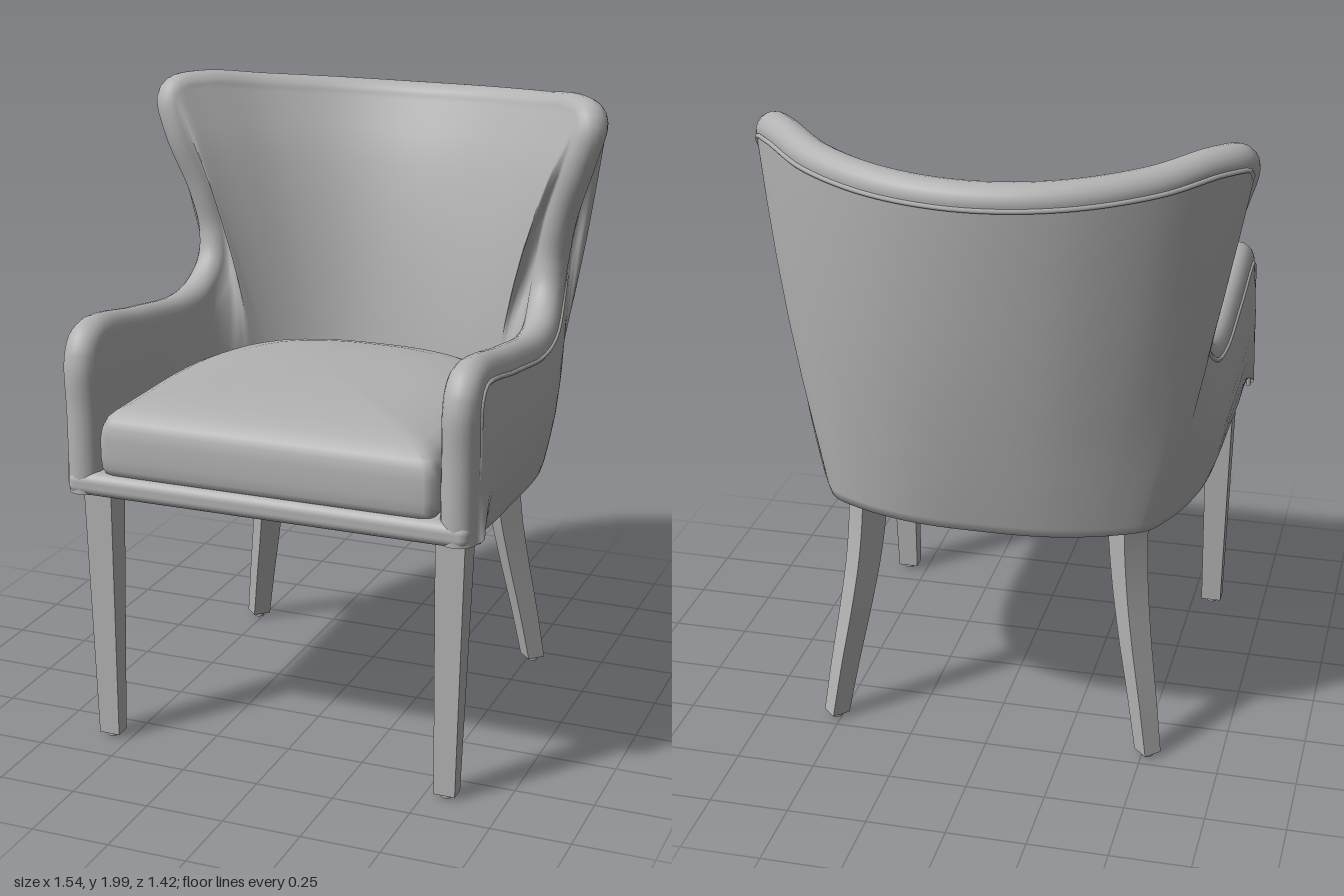
import * as THREE from 'three';
import { toCreasedNormals } from 'three/addons/utils/BufferGeometryUtils.js';
import { RoundedBoxGeometry } from 'three/addons/geometries/RoundedBoxGeometry.js';

const V = (x, y, z) => new THREE.Vector3(x, y, z);
const STEPS = 180;
const ROLL = 0.055;

// Half of the shell, front of the arm to middle of the back:
// [rim x, y, z, outward angle, outer bottom x, z, inner bottom x, z]
const HALF = [
  [0.605, 0.845, 0.645, 0, 0.655, 0.62, 0.545, 0.62],
  [0.605, 1.10, 0.645, 0, 0.655, 0.55, 0.545, 0.55],
  [0.607, 1.27, 0.643, 0, 0.655, 0.48, 0.545, 0.48],
  [0.607, 1.32, 0.60, 0, 0.655, 0.42, 0.545, 0.42],
  [0.607, 1.285, 0.30, 0, 0.65, 0.25, 0.545, 0.25],
  [0.605, 1.25, 0.00, 0, 0.64, -0.02, 0.53, 0.06],
  [0.597, 1.275, -0.15, 0.1, 0.625, -0.14, 0.508, -0.03],
  [0.585, 1.36, -0.25, 0.25, 0.60, -0.24, 0.48, -0.11],
  [0.59, 1.47, -0.283, 0.45, 0.575, -0.31, 0.45, -0.175],
  [0.62, 1.62, -0.265, 0.55, 0.55, -0.36, 0.415, -0.225],
  [0.685, 1.81, -0.23, 0.65, 0.53, -0.40, 0.38, -0.265],
  [0.712, 1.92, -0.245, 0.72, 0.51, -0.43, 0.34, -0.295],
  [0.652, 1.938, -0.327, 0.8, 0.48, -0.455, 0.295, -0.32],
  [0.492, 1.915, -0.485, 0.93, 0.36, -0.51, 0.20, -0.352],
  [0.26, 1.897, -0.61, 1.2, 0.20, -0.55, 0.10, -0.367],
  [0, 1.89, -0.653, Math.PI / 2, 0, -0.56, 0, -0.37],
];

// Skin a list of rings with quads
function loft(rings, closed) {
  const n = rings[0].length, idx = [];
  for (let i = 0; i < rings.length - 1; i++) {
    for (let j = 0; j < (closed ? n : n - 1); j++) {
      const k = (j + 1) % n;
      const a = i * n + j, b = (i + 1) * n + j, c = (i + 1) * n + k, d = i * n + k;
      idx.push(a, b, c, a, c, d);
    }
  }
  const g = new THREE.BufferGeometry().setFromPoints(rings.flat());
  g.setIndex(idx);
  g.computeVertexNormals();
  return g;
}

// Curve through one value of every row, mirrored to the other side
function mirroredCurve(pick, flip) {
  const left = HALF.map(pick);
  const right = left.slice(0, -1).reverse().map(flip);
  return new THREE.CatmullRomCurve3([...left, ...right]);
}

const flipX = (p) => V(-p.x, p.y, p.z);
const bottomY = (z) => 0.84 - 0.057 * THREE.MathUtils.clamp((0.62 - z) / 1.0, 0, 1);

// Cross-sections round the shell: outer wall, rolled rim, inner wall
function shellSections() {
  const rim = mirroredCurve((r) => V(r[0], r[1], r[2]), flipX);
  const angle = mirroredCurve((r) => V(r[3], 0, 0), (p) => V(Math.PI - p.x, 0, 0));
  const outer = mirroredCurve((r) => V(r[4], bottomY(r[5]), r[5]), flipX);
  const inner = mirroredCurve((r) => V(r[6], 0.88, r[7]), flipX);
  const sections = [], under = [], inside = [], piping = [];
  for (let i = 0; i <= STEPS; i++) {
    const u = i / STEPS;
    const R = rim.getPoint(u), B = outer.getPoint(u), I = inner.getPoint(u);
    const a = angle.getPoint(u).x;
    const flat = V(Math.cos(a), 0, -Math.sin(a));
    const t = rim.getTangent(u);
    const n = flat.clone().addScaledVector(t, -flat.dot(t)).normalize();
    const e = n.clone().cross(t).normalize();

    const low = B.clone().addScaledVector(flat, -0.035);
    const wallFoot = B.clone().add(V(0, 0.04, 0));
    const wallTop = R.clone().addScaledVector(n, ROLL);
    const inTop = R.clone().addScaledVector(n, -ROLL);
    const row = [low, B.clone().addScaledVector(flat, -0.01).add(V(0, 0.01, 0))];
    for (let k = 0; k < 6; k++) {
      row.push(wallFoot.clone().lerp(wallTop, k / 6).addScaledVector(flat, 0.022 * Math.sin(Math.PI * k / 6)));
    }
    for (let k = 0; k <= 10; k++) {
      const f = Math.PI * k / 10;
      row.push(R.clone().addScaledVector(n, ROLL * Math.cos(f)).addScaledVector(e, ROLL * Math.sin(f)));
    }
    // Padding swells the inside of the wings and back
    const padding = 0.005 + 0.042 * Math.min(1, 1.6 * Math.sin(a));
    for (let k = 1; k <= 10; k++) {
      const f = k / 10;
      row.push(inTop.clone().lerp(I, f).addScaledVector(flat, -padding * Math.sin(Math.PI * f ** 0.7)));
    }
    sections.push(row);
    under.push(low);
    inside.push(I);
    piping.push(wallTop.clone().addScaledVector(e, -0.012));
  }
  return { sections, under, inside, piping };
}

// Seat cushion: plan outline scaled through a soft, crowned profile
function cushionGeometry(inside) {
  const outline = inside.filter((p, i) => i % 3 === 0).map((p) => V(p.x, 0, p.z));
  outline.push(V(-0.545, 0, 0.655), V(-0.535, 0, 0.68), V(-0.51, 0, 0.69));
  for (let k = 1; k < 12; k++) outline.push(V(-0.51 + 1.02 * k / 12, 0, 0.692));
  outline.push(V(0.51, 0, 0.69), V(0.535, 0, 0.68), V(0.545, 0, 0.655));
  outline.reverse();
  const profile = [[0, 0.905], [0.94, 0.905], [0.98, 0.915], [0.995, 0.935], [1, 0.97], [1, 1.03],
    [0.99, 1.065], [0.97, 1.088], [0.93, 1.108], [0.87, 1.122], [0.75, 1.137], [0.55, 1.148],
    [0.3, 1.154], [0, 1.156]];
  return loft(profile.map(([s, y]) => outline.map((p) => V(p.x * s, y, 0.16 + (p.z - 0.16) * s))), true);
}

// Square leg through stations [x, y, z, half width, half depth], bottom to top
function legGeometry(stations, turn) {
  const rings = stations.map(([x, y, z, w, d]) =>
    [[1, 1], [-1, 1], [-1, -1], [1, -1]].map(([sx, sz]) =>
      V(sx * w, 0, sz * d).applyAxisAngle(V(0, 1, 0), turn).add(V(x, y, z))));
  const [x, y, z] = stations[0];
  rings.unshift(rings[0].map(() => V(x, y, z)));
  return toCreasedNormals(loft(rings, true), 0.6);
}

export function createModel() {
  const chair = new THREE.Group();
  chair.name = 'wingArmchair';
  const grey = new THREE.MeshStandardMaterial({ color: 0xb2b2b2, side: THREE.DoubleSide });
  grey.name = 'plain grey';
  const add = (name, geometry) => {
    const mesh = new THREE.Mesh(geometry, grey);
    mesh.name = name;
    chair.add(mesh);
    return mesh;
  };

  // Upholstered shell with arms and winged back
  const { sections, under, inside, piping } = shellSections();
  add('backAndArms', loft(sections, false));
  add('piping', new THREE.TubeGeometry(new THREE.CatmullRomCurve3(piping), 240, 0.008, 6));
  add('underside', loft([under.map(() => V(0, 0.815, 0.1)), under], true));

  // Seat
  add('frontRail', new RoundedBoxGeometry(1.3, 0.075, 0.13, 5, 0.03)).position.set(0, 0.8775, 0.636);
  add('seatCushion', cushionGeometry(inside));

  // Legs and small glides, mirrored by side
  const front = [[0.567, 0.012, 0.607, 0.034, 0.026], [0.576, 0.88, 0.59, 0.047, 0.048]];
  const rearPath = new THREE.CatmullRomCurve3([
    V(0.518, 0.015, -0.44), V(0.49, 0.2, -0.415), V(0.46, 0.38, -0.387),
    V(0.435, 0.56, -0.358), V(0.422, 0.72, -0.34), V(0.418, 0.86, -0.333)]);
  const rear = rearPath.getPoints(16).map((p, i) => {
    const h = 0.03 + 0.018 * i / 16;
    return [p.x, p.y, p.z, h, h];
  });
  for (const s of [1, -1]) {
    const side = s > 0 ? 'Left' : 'Right';
    const place = (list) => list.map(([x, ...rest]) => [s * x, ...rest]);
    add('front' + side + 'Leg', legGeometry(place(front), 0));
    add('rear' + side + 'Leg', legGeometry(place(rear), Math.PI / 4));
    for (const [name, x, z] of [['front', 0.567, 0.607], ['rear', 0.518, -0.44]]) {
      add(name + side + 'Glide', new THREE.CylinderGeometry(0.018, 0.018, 0.02, 12)).position.set(s * x, 0.01, z);
    }
  }
  return chair;
}
